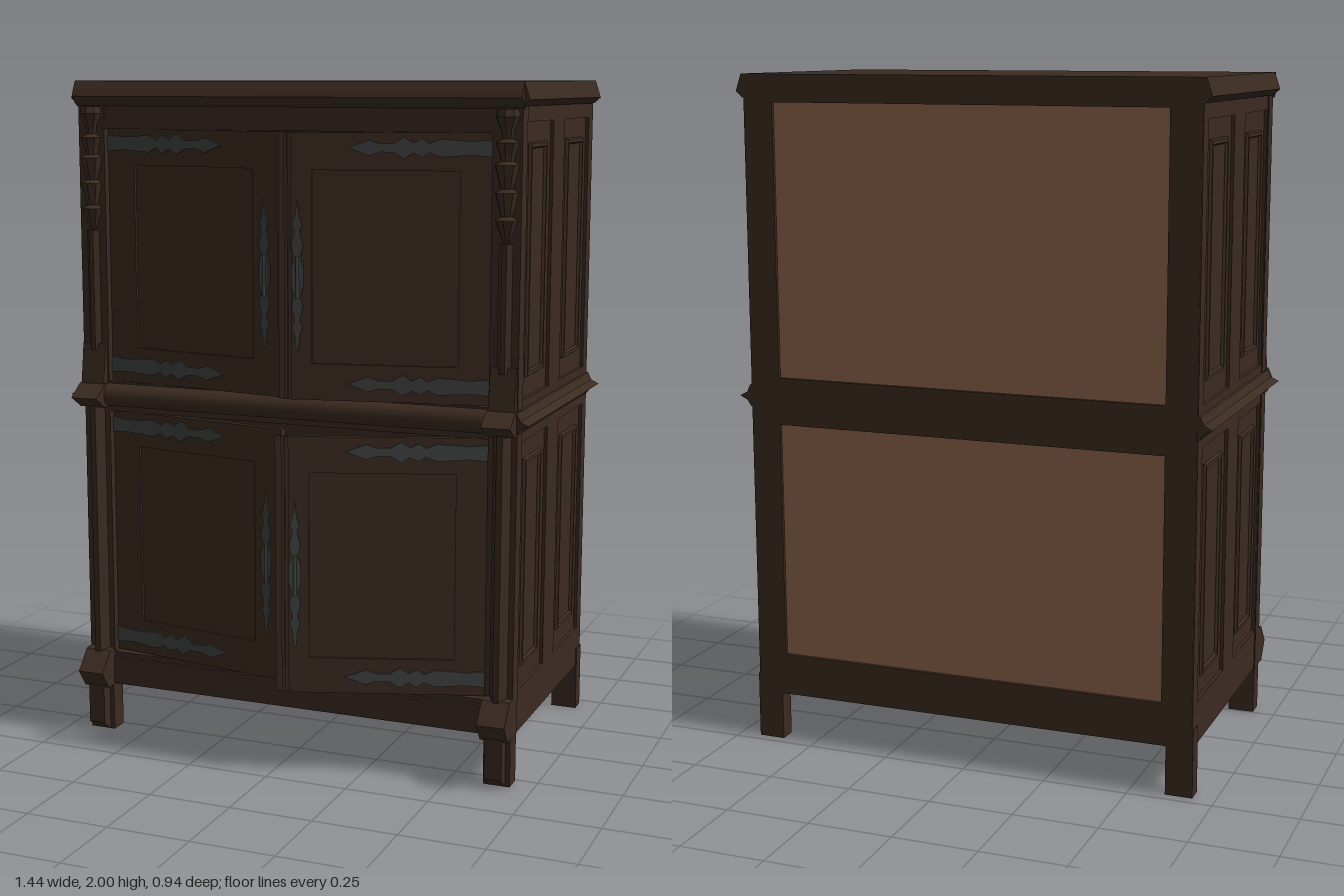
import * as THREE from 'three';
import { toCreasedNormals } from 'three/addons/utils/BufferGeometryUtils.js';

const mat = (name, color) => Object.assign(new THREE.MeshStandardMaterial({ color }), { name });
const V = (list) => list.map(([a, b]) => new THREE.Vector2(a, b));

export function createModel() {
  const wood = mat('dark oak', 0x3b2b21);
  const pale = mat('pale back board', 0x8f674c);
  const iron = mat('dark iron', 0x404142);
  const model = new THREE.Group();
  model.name = 'cabinet';

  const add = (name, geo, m = wood, parent = model) => {
    const mesh = new THREE.Mesh(geo, m);
    mesh.name = name;
    parent.add(mesh);
    return mesh;
  };
  // box given by its min and max corners
  const box = (name, x0, x1, y0, y1, z0, z1, m = wood, parent = model) => add(name,
    new THREE.BoxGeometry(x1 - x0, y1 - y0, z1 - z0)
      .translate((x0 + x1) / 2, (y0 + y1) / 2, (z0 + z1) / 2), m, parent);
  const rect = (a0, a1, b0, b1) => V([[a0, b0], [a1, b0], [a1, b1], [a0, b1]]);
  // flat outline with rectangular holes, extruded along z
  const plate = (points, holes, depth) => {
    const shape = new THREE.Shape(points);
    holes.forEach((h) => shape.holes.push(new THREE.Path(rect(...h))));
    return new THREE.ExtrudeGeometry(shape, { depth, bevelEnabled: false });
  };
  // (z, y) outline extruded along x from x0 to x1
  const alongX = (points, holes, x0, x1) =>
    plate(points, holes, x1 - x0).rotateY(-Math.PI / 2).translate(x1, 0, 0);
  // (x, z) plan outline extruded upward
  const upward = (points, y0, y1) =>
    plate(V(points.map(([x, z]) => [x, -z])), [], y1 - y0).rotateX(-Math.PI / 2).translate(0, y0, 0);

  // ---- Cornice and top ----
  add('top', plate(V([[-0.688, 2], [-0.705, 1.95], [-0.685, 1.932], [0.685, 1.932], [0.705, 1.95], [0.688, 2]]),
    [], 0.78).translate(0, 0, -0.47));
  add('frontCornice', alongX(V([[0.3, 1.925], [0.315, 1.935], [0.332, 1.955], [0.325, 1.975], [0.312, 2], [0.3, 2]]),
    [], -0.69, 0.69));

  // ---- Carcass boards and rails ----
  box('floor', -0.66, 0.66, 0.2, 0.235, -0.45, 0.29);
  box('middleShelf', -0.66, 0.66, 1.01, 1.1, -0.45, 0.295);
  box('topRail', -0.6, 0.6, 1.86, 1.935, 0.25, 0.302);
  box('baseRail', -0.6, 0.6, 0.15, 0.235, 0.25, 0.312);
  box('baseFillet', -0.6, 0.6, 0.235, 0.25, 0.25, 0.302);

  // ---- Back frame, pale boards outside, dark lining inside ----
  const backHoles = [[-0.59, 0.59, 0.27, 0.98], [-0.59, 0.59, 1.12, 1.92]];
  add('backFrame', plate(rect(-0.68, 0.68, 0.145, 1.94), backHoles, 0.025).translate(0, 0, -0.47));
  backHoles.forEach(([a, b, c, d]) => {
    box('backBoard', a - 0.01, b + 0.01, c - 0.01, d + 0.01, -0.46, -0.452, pale);
    box('backLining', a - 0.01, b + 0.01, c - 0.01, d + 0.01, -0.452, -0.444);
  });

  // ---- Middle moulding: half-round roll across the front ----
  const roll = V(Array.from({ length: 9 }, (_, i) => {
    const t = -Math.PI / 2 + (i / 8) * Math.PI;
    return [0.3 + 0.038 * Math.cos(t), 1.063 + 0.036 * Math.sin(t)];
  }));
  add('frontMoulding', toCreasedNormals(alongX(roll, [], -0.685, 0.685), 0.6));
  box('mouldingFillet', -0.6, 0.6, 1.09, 1.104, 0.28, 0.306);

  // ---- Sides, posts and legs, mirrored ----
  const columns = [[-0.02, 0.25], [-0.42, -0.14]];
  const rows = [[0.27, 1.0], [1.12, 1.89]];
  const sideHoles = columns.flatMap(([z0, z1]) => rows.map(([y0, y1]) => [z0, z1, y0, y1]));
  for (const s of [-1, 1]) {
    const span = (a, b) => (s > 0 ? [a, b] : [-b, -a]);
    const p = s > 0 ? 'left' : 'right';

    add(p + 'Side', alongX(rect(-0.468, 0.3, 0.145, 1.94), sideHoles, ...span(0.65, 0.682)));
    sideHoles.forEach(([z0, z1, y0, y1]) => {
      box(p + 'SidePanel', ...span(0.652, 0.672), y0, y1, z0, z1);
      // bevelled moulding round the sunken field
      const i = [z0 + 0.052, z1 - 0.052, y0 + 0.06, y1 - 0.06];
      const ring = new THREE.Shape(rect(...i));
      ring.holes.push(new THREE.Path(rect(i[0] + 0.012, i[1] - 0.012, i[2] + 0.012, i[3] - 0.012)));
      add(p + 'PanelMoulding', new THREE.ExtrudeGeometry(ring,
        { depth: 0.004, bevelThickness: 0.006, bevelSize: 0.004, bevelOffset: -0.001, bevelSegments: 1 })
        .rotateY(-Math.PI / 2).translate(0.672 * s + 0.002, 0, 0));
    });

    // slim side moulding with a sharp, hollowed edge
    add(p + 'SideMoulding', plate(V([[0.67, 1.027], [0.686, 1.03], [0.698, 1.048], [0.722, 1.06], [0.698, 1.072],
      [0.688, 1.094], [0.67, 1.098]].map(([x, y]) => [x * s, y])), [], 0.79).translate(0, 0, -0.468));

    box(p + 'FrontStile', ...span(0.6, 0.685), 0.145, 1.935, 0.255, 0.304);
    box(p + 'BackStile', ...span(0.6, 0.682), 0.145, 1.94, -0.468, -0.43);
    box(p + 'BackLeg', ...span(0.605, 0.685), 0, 0.2, -0.47, -0.42);

    const cx = 0.643 * s;
    // front leg with a projecting nose and slanted toe
    box(p + 'FrontLeg', cx - 0.04, cx + 0.04, 0, 0.2, 0.255, 0.312);
    add(p + 'FrontToe', alongX(V([[0.3, 0], [0.312, 0], [0.35, 0.03], [0.35, 0.2], [0.3, 0.2]]), [],
      cx - 0.026, cx + 0.026));

    // pointed wedges at base and middle, sloping plinth above
    add(p + 'BaseBlock', alongX(V([[0.28, 0.145], [0.345, 0.145], [0.384, 0.2], [0.332, 0.26], [0.28, 0.265]]),
      [], ...span(0.602, 0.685)));
    add(p + 'MiddleBlock', alongX(V([[0.28, 1.026], [0.33, 1.026], [0.384, 1.06], [0.33, 1.098], [0.28, 1.098]]),
      [], ...span(0.602, 0.687)));
    add(p + 'PostPlinth', alongX(V([[0.28, 1.09], [0.33, 1.09], [0.312, 1.22], [0.28, 1.22]]), [], ...span(0.606, 0.682)));

    // faceted colonnettes
    const shaft = (w, z) => [[cx - w, 0.28], [cx + w, 0.28], [cx + w, 0.305], [cx + w / 3, z], [cx - w / 3, z], [cx - w, 0.305]];
    add(p + 'LowerColonnette', upward(shaft(0.026, 0.336), 0.25, 1.03));
    add(p + 'UpperColonnette', upward(shaft(0.02, 0.32), 1.2, 1.56));

    // carved drop of stacked husks
    const drop = new THREE.LatheGeometry(V([[0, 1.545], [0.012, 1.57], [0.034, 1.625], [0.018, 1.635], [0.022, 1.65],
      [0.034, 1.7], [0.018, 1.71], [0.024, 1.73], [0.036, 1.775], [0.02, 1.785], [0.022, 1.8],
      [0.034, 1.835], [0.016, 1.845], [0.02, 1.87], [0.036, 1.905], [0.03, 1.925], [0, 1.925]]), 8);
    add(p + 'CarvedDrop', toCreasedNormals(drop, 0.6).translate(cx, 0, 0.302));
  }

  // ---- Doors ----
  // symmetric ornamental plate from half widths along its length
  const ornament = (half) => plate(V([...half, ...half.slice().reverse().map(([a, b]) => [a, -b])]
    .filter(([, b], i) => b !== 0 || i < half.length)), [], 0.005);
  const strapOutline = [[0, 0.024], [0.06, 0.019], [0.15, 0.025], [0.18, 0.012], [0.2, 0.026], [0.225, 0.014],
    [0.25, 0.03], [0.28, 0.012], [0.32, 0.012], [0.35, 0.022], [0.375, 0.012], [0.41, 0]];
  const pullOutline = [[0, 0.003], [0.05, 0.008], [0.07, 0.015], [0.09, 0.007], [0.13, 0.017], [0.16, 0.009],
    [0.19, 0.018], [0.24, 0.018], [0.27, 0.009], [0.3, 0.017], [0.34, 0.007], [0.36, 0.014], [0.38, 0.007], [0.43, 0]];

  const makeDoor = (name, s, y0, y1, angle) => {
    const door = new THREE.Group();
    door.name = name;
    door.position.set(0.6 * s, 0, 0.28);
    door.rotation.y = s * angle;
    const at = (d) => -s * d; // distance from the hinge
    const span = (a, b) => [Math.min(at(a), at(b)), Math.max(at(a), at(b))];
    const width = s > 0 ? 0.572 : 0.606;
    const hole = [...span(0.095, 0.512), y0 + 0.105, y1 - 0.105];
    add('doorFrame', plate(rect(...span(0, width), y0, y1), [hole], 0.022).translate(0, 0, -0.022), wood, door);
    box('doorPanel', hole[0], hole[1], hole[2], hole[3], -0.02, -0.008, wood, door);
    if (s > 0) {
      box('doorRebate', ...span(0.56, 0.61), y0, y1, -0.022, -0.01, wood, door);
      box('doorBead', ...span(0.582, 0.592), y0, y1, -0.011, 0, wood, door);
    }
    for (const y of [y0 + 0.05, y1 - 0.042]) {
      const strap = add('hingeStrap', ornament(strapOutline), iron, door);
      strap.position.set(0, y, s > 0 ? 0.0055 : 0.0005);
      strap.rotation.y = s > 0 ? Math.PI : 0;
    }
    const pull = add('handlePlate', ornament(pullOutline).rotateZ(Math.PI / 2), iron, door);
    pull.position.set(at(0.553), y0 + 0.138, 0.0005);
    add('handleGrip', new THREE.CylinderGeometry(0.005, 0.005, 0.12, 8), iron, door)
      .position.set(at(0.553), y0 + 0.35, 0.006);
    model.add(door);
  };
  makeDoor('upperRightDoor', -1, 1.104, 1.86, 0.155);
  makeDoor('upperLeftDoor', 1, 1.104, 1.86, 0.198);
  makeDoor('lowerRightDoor', -1, 0.254, 1.01, 0.155);
  makeDoor('lowerLeftDoor', 1, 0.254, 1.01, 0.325);

  return model;
}
